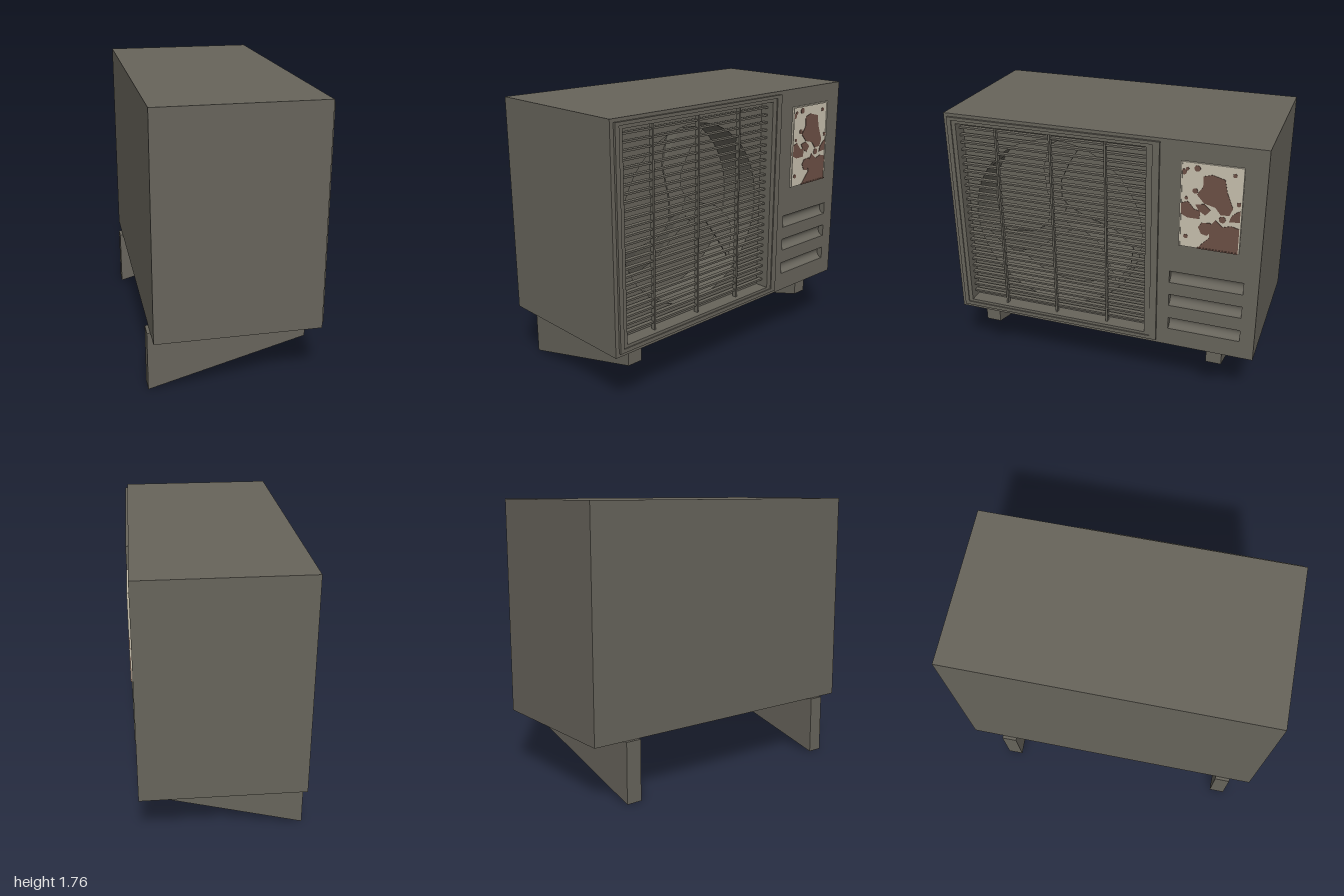
import * as THREE from 'three';

const mat = (name, color) => Object.assign(new THREE.MeshStandardMaterial({ color }), { name });

// Rectangle outline, usable as a shape or as a hole
const rect = (x0, x1, y0, y1, Type = THREE.Shape) =>
  new Type([[x0, y0], [x1, y0], [x1, y1], [x0, y1]].map(p => new THREE.Vector2(...p)));

export function createModel() {
  const casing = mat('casing grey', 0x67645b);
  const inside = casing.clone();
  inside.name = 'recess grey';
  inside.side = THREE.DoubleSide;
  const cream = mat('label cream', 0xc6bfad);
  const rust = mat('label rust', 0x6c5045);

  const model = new THREE.Group();
  // Fascia space: x runs along the wide side, y up, z outwards; it is turned to face +x
  const fascia = new THREE.Group();
  fascia.name = 'fascia';
  fascia.rotation.y = Math.PI / 2;
  model.add(fascia);

  const add = (name, geometry, material, parent = fascia) => {
    const mesh = new THREE.Mesh(geometry, material);
    mesh.name = name;
    parent.add(mesh);
    return mesh;
  };
  const box = (name, x0, x1, y0, y1, z0, z1, material = casing) =>
    add(name, new THREE.BoxGeometry(x1 - x0, y1 - y0, z1 - z0), material)
      .position.set((x0 + x1) / 2, (y0 + y1) / 2, (z0 + z1) / 2);
  const extrude = (name, shape, z0, z1, material = casing) => {
    const geometry = new THREE.ExtrudeGeometry(shape, { depth: z1 - z0, bevelEnabled: false, curveSegments: 32 });
    return add(name, geometry.translate(0, 0, z0), material);
  };

  // Casing: solid rear block and a deep front with the grille opening and vent slots
  const rearFront = 0.15;
  box('rearCasing', -1, 1, 0.38, 1.76, -0.505, rearFront);
  const front = rect(-1, 1, 0.38, 1.76);
  front.holes.push(rect(-0.92, 0.3, 0.445, 1.7, THREE.Path));
  const vents = [0.54, 0.71, 0.875];
  for (const y of vents) front.holes.push(rect(0.455, 0.91, y - 0.04, y + 0.04, THREE.Path));
  extrude('frontCasing', front, rearFront, 0.505);

  // Vents: concave troughs
  for (const y of vents) {
    const trough = new THREE.CylinderGeometry(0.04, 0.04, 0.455, 16, 1, true, Math.PI / 2, Math.PI);
    trough.rotateZ(Math.PI / 2);
    add('ventTrough', trough, inside).position.set(0.6825, y, 0.505);
  }

  // Stepped frame around the grille
  const ring = (name, o, i, z1) => {
    const shape = rect(...o);
    shape.holes.push(rect(...i, THREE.Path));
    extrude(name, shape, 0.5, z1);
  };
  ring('outerFrame', [-0.975, 0.38, 0.403, 1.74], [-0.947, 0.337, 0.427, 1.72], 0.52);
  ring('innerFrame', [-0.947, 0.337, 0.427, 1.72], [-0.92, 0.3, 0.445, 1.7], 0.513);

  // Fan shroud with its round opening
  const cx = -0.31, cy = 1.07;
  const shroud = rect(-0.92, 0.3, 0.445, 1.7);
  shroud.holes.push(new THREE.Path().absarc(cx, cy, 0.562, 0, Math.PI * 2, true));
  extrude('fanShroud', shroud, rearFront, 0.42);

  // Three swept, slightly pitched fan blades
  const outline = [[0, 0], [0.03, 0.097], [-0.005, 0.15], [-0.005, 0.257], [0.06, 0.39], [0.15, 0.525],
    [-0.01, 0.525], [-0.097, 0.482], [-0.134, 0.31], [-0.097, 0.097], [-0.1, -0.02]];
  const fan = new THREE.Group();
  fan.name = 'fan';
  fan.position.set(cx, cy, 0.31);
  fascia.add(fan);
  for (let i = 0; i < 3; i++) {
    const shape = new THREE.Shape(outline.map(p => new THREE.Vector2(...p)));
    const geometry = new THREE.ExtrudeGeometry(shape, { depth: 0.012, bevelEnabled: false });
    const p = geometry.attributes.position;
    for (let k = 0; k < p.count; k++) p.setZ(k, p.getZ(k) + 0.6 * p.getX(k) * p.getY(k));
    geometry.computeVertexNormals();
    add('fanBlade', geometry, casing, fan).rotation.z = i * Math.PI * 2 / 3;
  }

  // Grille slats and uprights
  for (let i = 0; i < 25; i++) {
    const y = 1.662 - i * 0.0487;
    box('grilleSlat', -0.92, 0.3, y - 0.006, y + 0.006, 0.44, 0.47);
  }
  for (const x of [-0.675, -0.317, 0.035]) box('grilleUpright', x - 0.006, x + 0.006, 0.445, 1.7, 0.45, 0.478);

  // Label plate with rust patches and spots
  box('labelPlate', 0.508, 0.87, 1.105, 1.642, 0.5, 0.512, cream);
  const patches = [
    [[0.64, 1.565], [0.69, 1.58], [0.765, 1.56], [0.78, 1.485], [0.818, 1.39], [0.8, 1.345], [0.75, 1.34], [0.716, 1.383], [0.65, 1.4], [0.605, 1.45], [0.64, 1.5]],
    [[0.62, 1.105], [0.65, 1.142], [0.69, 1.185], [0.685, 1.255], [0.72, 1.303], [0.765, 1.265], [0.812, 1.28], [0.87, 1.265], [0.87, 1.105]],
    [[0.508, 1.383], [0.555, 1.4], [0.592, 1.357], [0.63, 1.346], [0.625, 1.297], [0.555, 1.297], [0.508, 1.32]],
    [[0.62, 1.245], [0.64, 1.275], [0.694, 1.28], [0.705, 1.228], [0.673, 1.196], [0.64, 1.205]],
    [[0.6, 1.385], [0.65, 1.395], [0.69, 1.36], [0.66, 1.325], [0.62, 1.35]],
    [[0.84, 1.37], [0.87, 1.385], [0.87, 1.31], [0.8, 1.305], [0.81, 1.34]],
  ];
  for (const points of patches) {
    const shape = new THREE.Shape(points.map(p => new THREE.Vector2(...p)));
    extrude('rustPatch', shape, 0.512, 0.515, rust);
  }
  for (const [x, y, r] of [[0.603, 1.608, 0.018], [0.525, 1.58, 0.017], [0.545, 1.6, 0.01], [0.818, 1.592, 0.012],
    [0.548, 1.174, 0.013], [0.812, 1.15, 0.011], [0.76, 1.312, 0.02], [0.85, 1.42, 0.013], [0.595, 1.47, 0.016], [0.545, 1.42, 0.01]]) {
    extrude('rustSpot', new THREE.Shape().absarc(x, y, r, 0, Math.PI * 2), 0.512, 0.515, rust);
  }
  // Thin raised rim of the label
  for (const x of [0.508, 0.862]) box('labelRim', x, x + 0.008, 1.105, 1.642, 0.51, 0.518, cream);
  box('labelRim', 0.508, 0.87, 1.634, 1.642, 0.51, 0.518, cream);
  box('labelRim', 0.62, 0.87, 1.105, 1.113, 0.51, 0.518, rust);

  // Wedge brackets beneath the casing
  const wedge = new THREE.Shape([[-0.525, 0], [0.445, 0.26], [0.445, 0.38], [-0.525, 0.38]].map(p => new THREE.Vector2(...p)));
  for (const z of [0.76, -0.795]) {
    const geometry = new THREE.ExtrudeGeometry(wedge, { depth: 0.1, bevelEnabled: false });
    add('supportBracket', geometry, casing, model).position.z = z;
  }
  return model;
}
